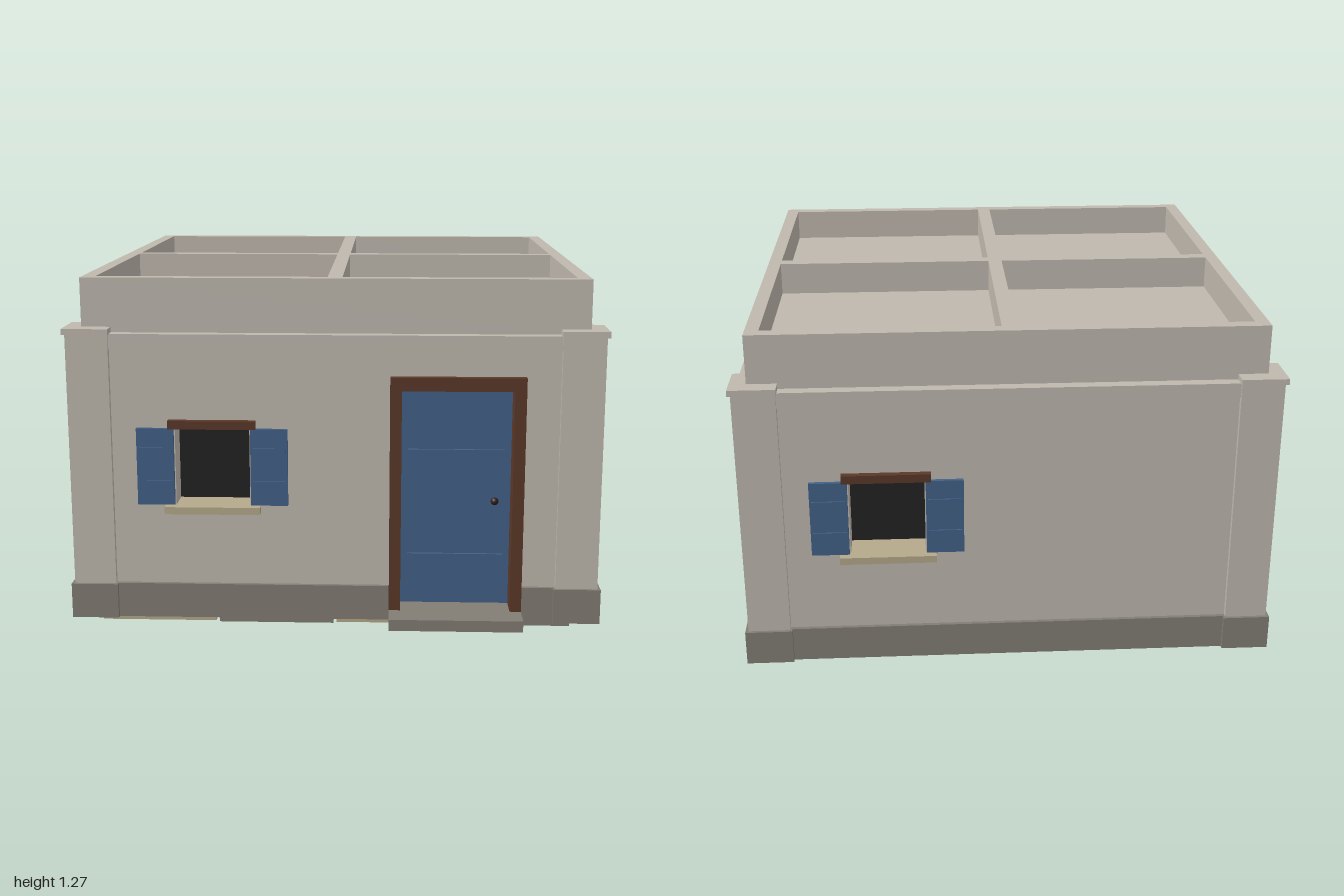
import * as THREE from 'three';

const mat = (name, color) => Object.assign(new THREE.MeshStandardMaterial({ color }), { name });

export function createModel() {
  const plaster = mat('plaster', 0xbfb8ae);
  const stone = mat('grey stone', 0x827c74);
  const sand = mat('sandstone', 0xb5a98b);
  const blue = mat('blue paint', 0x426188);
  const wood = mat('brown wood', 0x5a3828);
  const dark = mat('dark glass', 0x222222);
  const knobMat = mat('dark knob', 0x2e1f1a);

  const model = new THREE.Group();
  model.name = 'house';
  const house = new THREE.Group();
  house.name = 'building';
  house.position.set(-0.007, 0, -0.042);
  model.add(house);

  const add = (parent, name, geo, m) => {
    const mesh = new THREE.Mesh(geo, m);
    mesh.name = name;
    parent.add(mesh);
    return mesh;
  };
  // Box given by its minimum and maximum on each axis
  const box = (parent, name, m, x0, x1, y0, y1, z0, z1) => {
    const mesh = add(parent, name, new THREE.BoxGeometry(x1 - x0, y1 - y0, z1 - z0), m);
    mesh.position.set((x0 + x1) / 2, (y0 + y1) / 2, (z0 + z1) / 2);
    return mesh;
  };
  const rect = (x0, x1, y0, y1, Type = THREE.Path) => {
    const p = new Type();
    p.moveTo(x0, y0);
    p.lineTo(x1, y0);
    p.lineTo(x1, y1);
    p.lineTo(x0, y1);
    p.closePath();
    return p;
  };

  const W = 0.92;       // wall face distance from the centre
  const base = 0.046;   // underside of the building
  const plinthTop = 0.173;

  // Chequered floor tiles below the house
  for (let i = 0; i < 4; i++) {
    for (let j = 0; j < 4; j++) {
      const x = -0.86 + i * 0.432, z = -0.86 + j * 0.432;
      const pale = (i + j) % 2 === 1;
      box(house, 'floorTile', pale ? sand : stone, x, x + 0.42, pale ? 0.004 : 0, base + 0.004, z, z + 0.42);
    }
  }
  box(house, 'floorSlab', stone, -0.91, 0.91, base + 0.001, 0.086, -0.91, 0.91);

  // Window with recess, shutters, sill and lintel; cx is its place along the wall
  const addWindow = (side, cx) => {
    const g = new THREE.Group();
    g.name = 'window';
    g.position.set(cx, 0, W);
    side.add(g);
    box(g, 'windowPane', dark, -0.15, 0.15, 0.44, 0.78, -0.109, -0.1);
    box(g, 'lintel', wood, -0.155, 0.155, 0.747, 0.777, -0.02, 0.024);
    box(g, 'sill', sand, -0.17, 0.17, 0.44, 0.466, -0.1, 0.035);
    for (const s of [-1, 1]) {
      const shutter = new THREE.Group();
      shutter.name = 'shutter';
      shutter.position.x = s * 0.202;
      g.add(shutter);
      box(shutter, 'shutterBoard', blue, -0.066, 0.066, 0.469, 0.747, -0.005, 0.014);
      for (const y of [0.54, 0.66]) box(shutter, 'shutterBatten', blue, -0.058, 0.058, y, y + 0.018, 0.01, 0.019);
    }
  };

  // Panelled door in its frame, with knob and step
  const addDoor = (side, cx) => {
    const g = new THREE.Group();
    g.name = 'door';
    g.position.set(cx, 0, W);
    side.add(g);
    box(g, 'doorLeaf', blue, -0.2, 0.2, 0.086, 0.9, -0.1, -0.065);
    for (const y of [0.25, 0.638]) box(g, 'doorBatten', blue, -0.172, 0.172, y, y + 0.025, -0.07, -0.055);
    for (const s of [-1, 1]) {
      box(g, 'doorJamb', wood, s < 0 ? -0.237 : 0.196, s < 0 ? -0.196 : 0.237, 0.087, 0.89, -0.064, 0.027);
    }
    box(g, 'doorHead', wood, -0.237, 0.237, 0.89, 0.938, -0.064, 0.027);
    const knob = add(g, 'doorKnob', new THREE.SphereGeometry(0.014, 16, 10), knobMat);
    knob.position.set(0.139, 0.477, -0.045);
    box(g, 'doorStep', stone, -0.237, 0.237, base, 0.087, -0.06, 0.122);
  };

  // Four walls: front, right, back, left
  const sides = [
    { name: 'frontWall', window: -0.433, door: 0.432 },
    { name: 'rightWall', window: 0.43 },
    { name: 'backWall', window: -0.43 },
    { name: 'leftWall' },
  ];
  sides.forEach((s, i) => {
    const side = new THREE.Group();
    side.name = s.name;
    side.rotation.y = i * Math.PI / 2;
    house.add(side);

    const shape = rect(-0.9, 0.9, 0.06, 1.04, THREE.Shape);
    if (s.window !== undefined) {
      shape.holes.push(rect(s.window - 0.132, s.window + 0.132, 0.462, 0.75));
      addWindow(side, s.window);
    }
    if (s.door !== undefined) {
      shape.holes.push(rect(s.door - 0.197, s.door + 0.197, 0.086, 0.891));
      addDoor(side, s.door);
    }
    const wall = add(side, 'wallPanel', new THREE.ExtrudeGeometry(shape, { depth: 0.1, bevelEnabled: false }), plaster);
    wall.position.z = W - 0.1;

    // Plinth strip, broken at the door
    const spans = s.door === undefined ? [[-0.85, 0.85]] : [[-0.85, s.door - 0.237], [s.door + 0.237, 0.85]];
    for (const [a, b] of spans) box(side, 'plinth', stone, a, b, base, plinthTop, W - 0.03, 0.934);

    // Corner pilaster with its foot and cap
    const corner = (name, m, out, w, y0, y1) => box(side, name, m, out - w, out, y0, y1, out - w, out);
    corner('cornerFoot', stone, 0.95, 0.168, base, plinthTop);
    corner('cornerPilaster', plaster, 0.939, 0.15, plinthTop, 1.082);
    corner('cornerCap', plaster, 0.949, 0.163, 1.081, 1.102);
  });

  // Cornice band, roof deck and parapet with four open bays
  box(house, 'cornice', plaster, -0.931, 0.931, 1.032, 1.083, -0.931, 0.931);
  box(house, 'roofDeck', plaster, -0.87, 0.87, 1.07, 1.155, -0.87, 0.87);
  const top = rect(-0.89, 0.89, -0.89, 0.89, THREE.Shape);
  for (const x of [-0.842, 0.026]) {
    for (const z of [-0.842, 0.026]) top.holes.push(rect(x, x + 0.816, z, z + 0.816));
  }
  const parapet = add(house, 'parapet', new THREE.ExtrudeGeometry(top, { depth: 0.195, bevelEnabled: false }), plaster);
  parapet.rotation.x = -Math.PI / 2;
  parapet.position.y = 1.08;

  return model;
}
